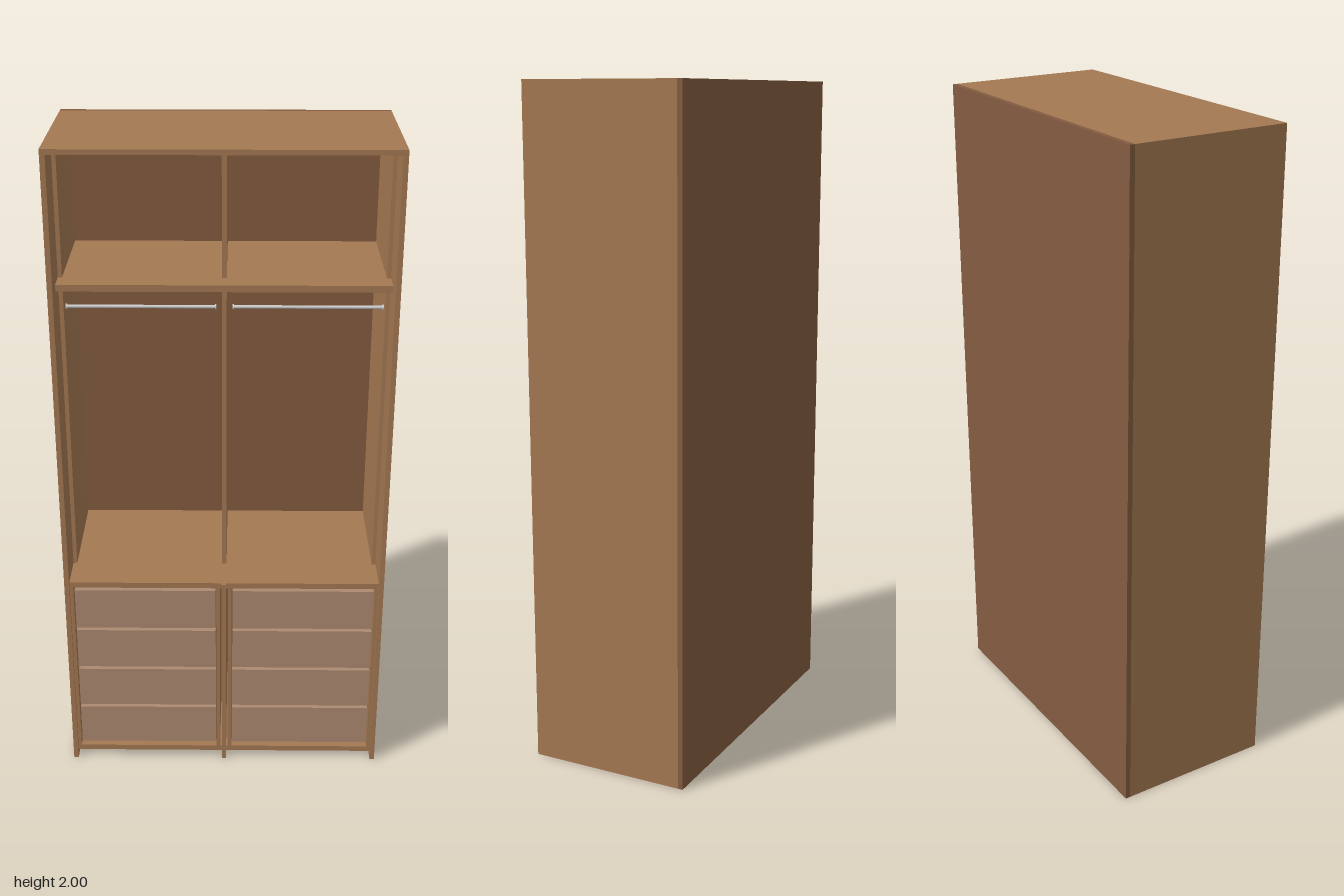
import * as THREE from 'three';

export function createModel() {
  const group = new THREE.Group();
  const paint = (color) => new THREE.MeshStandardMaterial({ color });
  const wood = paint(0xa47852);
  const darkWood = paint(0x845c40);
  const drawerWood = paint(0xac8a70);
  const metal = paint(0xeeeeee);

  // Box given by its limits on each axis
  function board(name, [x0, x1], [y0, y1], [z0, z1], material = wood) {
    const geometry = new THREE.BoxGeometry(Math.abs(x1 - x0), y1 - y0, z1 - z0);
    const mesh = new THREE.Mesh(geometry, material);
    mesh.name = name;
    mesh.position.set((x0 + x1) / 2, (y0 + y1) / 2, (z0 + z1) / 2);
    group.add(mesh);
  }

  const back = -0.232, front = 0.247;

  // Carcass
  board('backPanel', [-0.49, 0.49], [0, 2], [-0.247, back], darkWood);
  board('topPanel', [-0.475, 0.475], [1.985, 2], [back, front]);
  board('upperShelf', [-0.475, 0.475], [1.582, 1.602], [back, 0.185]);
  board('upperDivider', [-0.007, 0.007], [0.66, 1.985], [back, 0.12]);
  board('lowerDivider', [-0.007, 0.007], [0, 0.66], [back, front]);
  board('plinth', [-0.475, 0.475], [0.002, 0.025], [-0.2, 0.16], darkWood);

  for (const s of [-1, 1]) {
    const side = s > 0 ? 'left' : 'right';
    board(side + 'SidePanel', [s * 0.475, s * 0.49], [0, 2], [back, front]);
    board(side + 'Liner', [s * 0.463, s * 0.475], [0.66, 1.985], [back, 0.12]);

    // Drawer unit
    board(side + 'DrawerUnitTop', [s * 0.007, s * 0.475], [0.642, 0.66], [back, 0.238]);
    board(side + 'DrawerUnitBottom', [s * 0.007, s * 0.475], [0.025, 0.043], [back, 0.238]);
    board(side + 'DrawerUnitOuterSide', [s * 0.464, s * 0.475], [0.043, 0.642], [back, 0.238]);
    board(side + 'DrawerUnitInnerSide', [s * 0.012, s * 0.024], [0.043, 0.642], [back, 0.238]);
    board(side + 'DrawerUnitCore', [s * 0.024, s * 0.464], [0.043, 0.63], [back, 0.205], darkWood);
    for (let i = 0; i < 4; i++) {
      const y = 0.05 + i * 0.146;
      board(side + 'DrawerFront' + (i + 1), [s * 0.026, s * 0.462], [y, y + 0.136], [0.205, 0.225], drawerWood);
    }

    // Hanging rod with end flanges
    const rod = new THREE.Mesh(new THREE.CylinderGeometry(0.005, 0.005, 0.438, 20), metal);
    rod.name = side + 'HangingRod';
    rod.rotation.z = Math.PI / 2;
    rod.position.set(s * 0.244, 1.497, 0.07);
    group.add(rod);
    for (const x of [0.026, 0.461]) {
      const flange = new THREE.Mesh(new THREE.CylinderGeometry(0.008, 0.008, 0.004, 20), metal);
      flange.name = side + 'RodFlange';
      flange.rotation.z = Math.PI / 2;
      flange.position.set(s * x, 1.497, 0.07);
      group.add(flange);
    }
  }
  return group;
}
